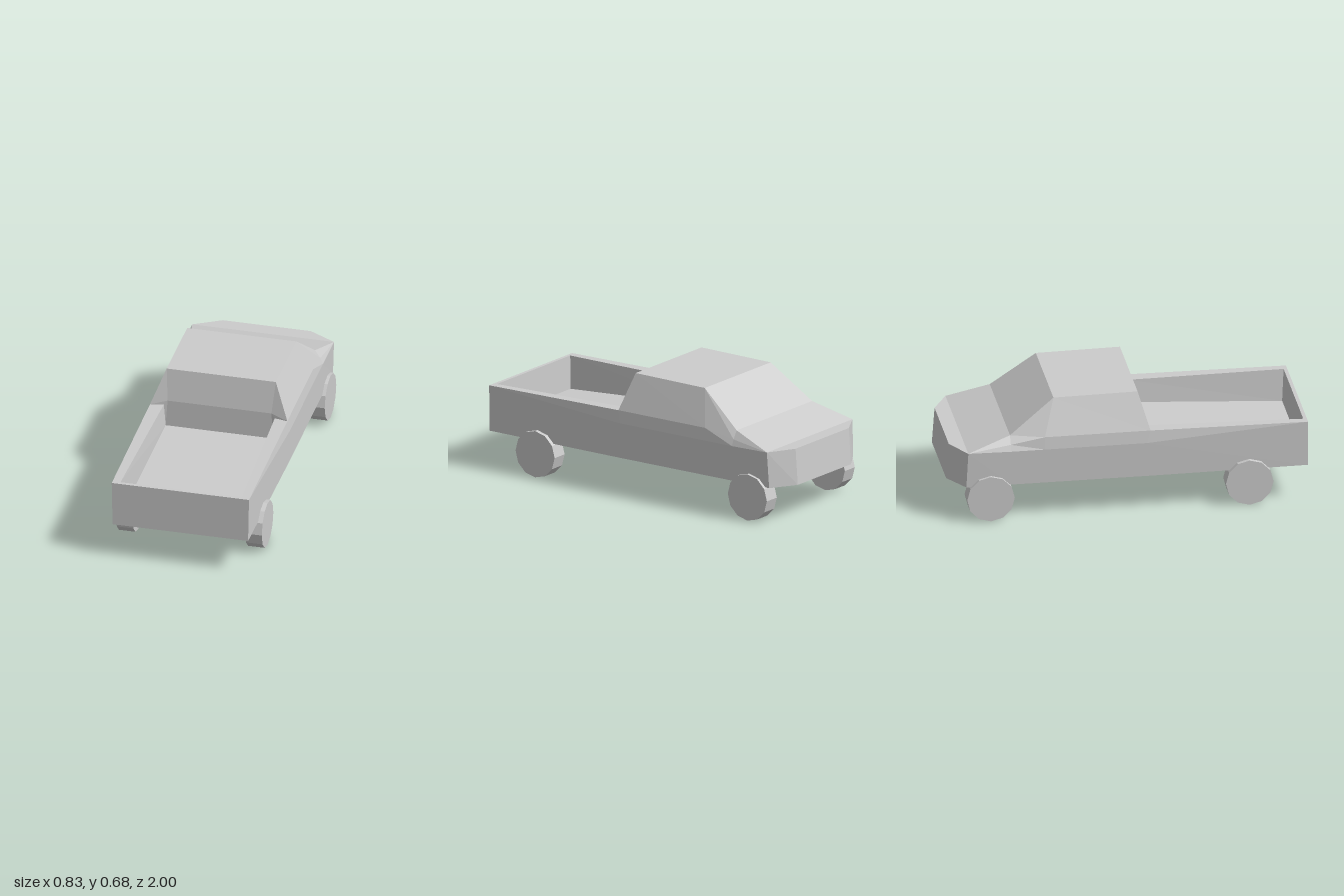
import * as THREE from 'three';

const material = new THREE.MeshStandardMaterial({ color: 0xcccccc, flatShading: true });
const mirror = ([x, y, z]) => [-x, y, z];

// Mesh from a list of polygons (three or four corners each)
function panel(name, polygons) {
  const positions = [];
  for (const p of polygons) {
    for (let i = 1; i < p.length - 1; i++) positions.push(...p[0], ...p[i], ...p[i + 1]);
  }
  const geometry = new THREE.BufferGeometry();
  geometry.setAttribute('position', new THREE.Float32BufferAttribute(positions, 3));
  geometry.computeVertexNormals();
  const mesh = new THREE.Mesh(geometry, material);
  mesh.name = name;
  return mesh;
}

const withMirror = (polygons) =>
  polygons.concat(polygons.map((p) => p.map(mirror).reverse()));

// Skin between neighbouring half sections, on both sides of the truck
function sides(sections) {
  const quads = [];
  for (let i = 0; i < sections.length - 1; i++) {
    const a = sections[i], b = sections[i + 1];
    for (let j = 0; j < a.length - 1; j++) {
      const corners = [a[j], a[j + 1], b[j + 1], b[j]];
      quads.push(corners.filter((c, k) => c !== corners[(k + 1) % 4]));
    }
  }
  return withMirror(quads.filter((q) => q.length > 2));
}

// Full-width strip following a path of left-hand edge points
const span = (path) =>
  path.slice(1).map((b, i) => [path[i], mirror(path[i]), mirror(b), b]);

export function createModel() {
  const truck = new THREE.Group();
  truck.name = 'pickupTruck';

  // Half sections from nose to cab back: sill, belt, shoulder, top edge
  const noseTop = [0.25, 0.41, -0.985];
  const cornerTop = [0.403, 0.41, -0.9];
  const nose = [[0.25, 0.205, -1], noseTop, noseTop, noseTop];
  const corner = [[0.395, 0.205, -0.91], cornerTop, cornerTop, cornerTop];
  const cowl = [[0.395, 0.205, -0.66], [0.4, 0.405, -0.66], [0.385, 0.44, -0.66], [0.355, 0.485, -0.66]];
  const roofFront = [[0.395, 0.205, -0.47], [0.4, 0.405, -0.47], [0.39, 0.475, -0.47], [0.31, 0.675, -0.41]];
  const roofBack = [[0.395, 0.205, 0.1], [0.4, 0.405, 0.1], [0.39, 0.475, 0.12], [0.31, 0.68, 0.06]];

  // Bed half sections: sill, belt, outer rim, inner rim, floor
  const rearRim = [0.39, 0.467, 1];
  const bedFront = [...roofBack.slice(0, 3), [0.315, 0.475, 0.105], [0.305, 0.345, 0.105]];
  const bedRear = [[0.385, 0.205, 1], rearRim, rearRim, [0.345, 0.467, 0.98], [0.335, 0.28, 0.97]];
  const ledge = [0.295, 0.5, 0.1];

  truck.add(
    panel('noseAndCabSides', sides([nose, corner, cowl, roofFront, roofBack])),
    panel('frontFascia', span([nose[0], noseTop])),
    panel('hood', span([noseTop, cornerTop, cowl[3]])),
    panel('windshield', span([cowl[3], roofFront[3]])),
    panel('roof', span([roofFront[3], roofBack[3]])),
    panel('cabBack', [
      ...span([roofBack[3], ledge, bedFront[4]]),
      ...withMirror([
        [roofBack[2], roofBack[3], ledge],
        [roofBack[2], ledge, bedFront[3]],
        [bedFront[3], ledge, bedFront[4]],
      ]),
    ]),
    panel('bedSides', sides([bedFront, bedRear])),
    panel('bedFloor', span([bedFront[4], bedRear[4]])),
    panel('tailgate', span([bedRear[4], bedRear[3], rearRim, bedRear[0]])),
    panel('underside', span([bedRear[0], roofBack[0], corner[0], nose[0]])),
  );

  // Twelve-sided wheels
  const wheelGeometry = new THREE.CylinderGeometry(0.133, 0.133, 0.094, 12).rotateZ(Math.PI / 2);
  for (const [axle, z] of [['front', -0.775], ['rear', 0.67]]) {
    for (const [side, x] of [['Left', 0.367], ['Right', -0.367]]) {
      const wheel = new THREE.Mesh(wheelGeometry, material);
      wheel.name = `${axle}Wheel${side}`;
      wheel.position.set(x, 0.133, z);
      truck.add(wheel);
    }
  }
  return truck;
}
